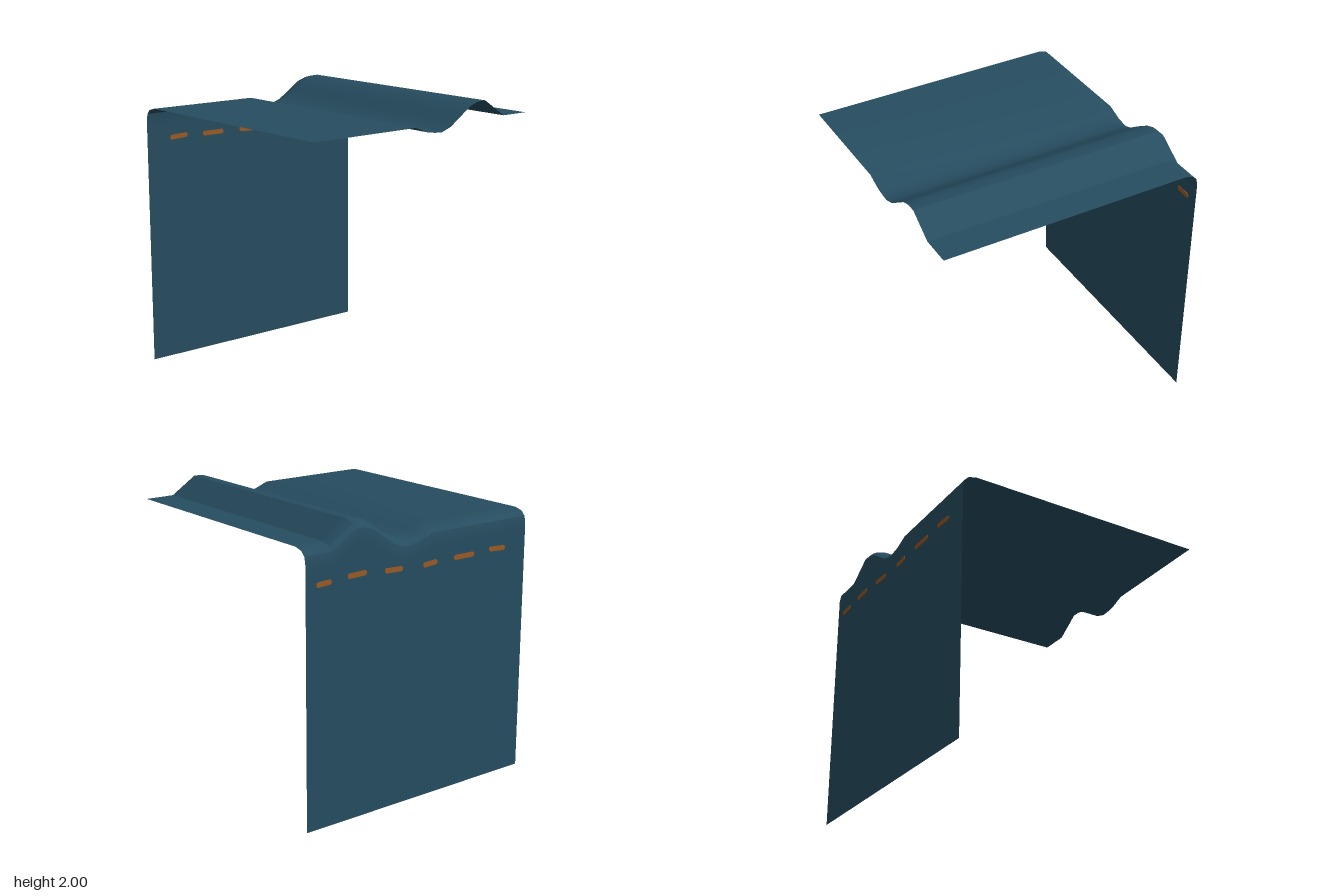
import * as THREE from 'three';
import { toCreasedNormals } from 'three/addons/utils/BufferGeometryUtils.js';

const EDGE = 0.94;

// Height of the top sheet along z: flat, dip, ridge, flat
const ripple = [
  [0.94, 1.88], [0.095, 1.88], [-0.01, 1.84], [-0.08, 1.829], [-0.14, 1.826], [-0.22, 1.853],
  [-0.31, 1.913], [-0.4, 1.974], [-0.47, 1.998], [-0.54, 2.0], [-0.725, 1.88], [-0.94, 1.88],
];

// Cross-section as x and drop below the ripple height; null drop means the floor
const section = [
  [-EDGE, null], [-EDGE, 0.14], [-EDGE, 0.1], [-0.93, 0.047], [-0.9, 0.016], [-0.84, 0], [-0.8, 0], [EDGE, 0],
];

function sheetGeometry() {
  const positions = [], index = [], cols = ripple.length;
  for (const [x, drop] of section) {
    for (const [z, y] of ripple) positions.push(x, drop === null ? 0 : y - drop, z);
  }
  for (let i = 0; i < section.length - 1; i++) {
    for (let j = 0; j < cols - 1; j++) {
      const a = i * cols + j, b = a + 1, c = a + cols, d = c + 1;
      index.push(a, c, b, b, c, d);
    }
  }
  const geometry = new THREE.BufferGeometry();
  geometry.setAttribute('position', new THREE.Float32BufferAttribute(positions, 3));
  geometry.setIndex(index);
  return toCreasedNormals(geometry, Math.PI / 6);
}

// Thin rounded dash, lying along z and showing on both faces of the wall
function dashGeometry(length, width) {
  const r = width / 2, h = length / 2 - r;
  const shape = new THREE.Shape();
  shape.absarc(h, 0, r, -Math.PI / 2, Math.PI / 2, false);
  shape.absarc(-h, 0, r, Math.PI / 2, Math.PI * 1.5, false);
  const depth = 0.008;
  const geometry = new THREE.ExtrudeGeometry(shape, { depth, bevelEnabled: false, curveSegments: 6 });
  return geometry.translate(0, 0, -depth / 2).rotateY(-Math.PI / 2);
}

export function createModel() {
  const teal = new THREE.MeshStandardMaterial({ color: 0x264d60, side: THREE.DoubleSide });
  teal.name = 'teal cloth';
  const orange = new THREE.MeshStandardMaterial({ color: 0x9a5a24 });
  orange.name = 'orange thread';

  const group = new THREE.Group();
  group.name = 'foldedSheet';

  const sheet = new THREE.Mesh(sheetGeometry(), teal);
  sheet.name = 'sheet';
  group.add(sheet);

  // Row of dashes: start z, end z, height, tilt
  const dashes = [
    [0.75, 0.6, 1.645, -0.06], [0.465, 0.28, 1.64, 0], [0.135, 0.01, 1.635, 0.08],
    [-0.163, -0.313, 1.642, -0.04], [-0.46, -0.615, 1.66, 0.03], [-0.74, -0.86, 1.645, 0.06],
  ];
  const stitching = new THREE.Group();
  stitching.name = 'stitching';
  for (const [z0, z1, y, tilt] of dashes) {
    const dash = new THREE.Mesh(dashGeometry(z0 - z1, 0.034), orange);
    dash.name = 'stitch';
    dash.position.set(-EDGE, y, (z0 + z1) / 2);
    dash.rotation.x = -tilt;
    stitching.add(dash);
  }
  group.add(stitching);
  return group;
}
